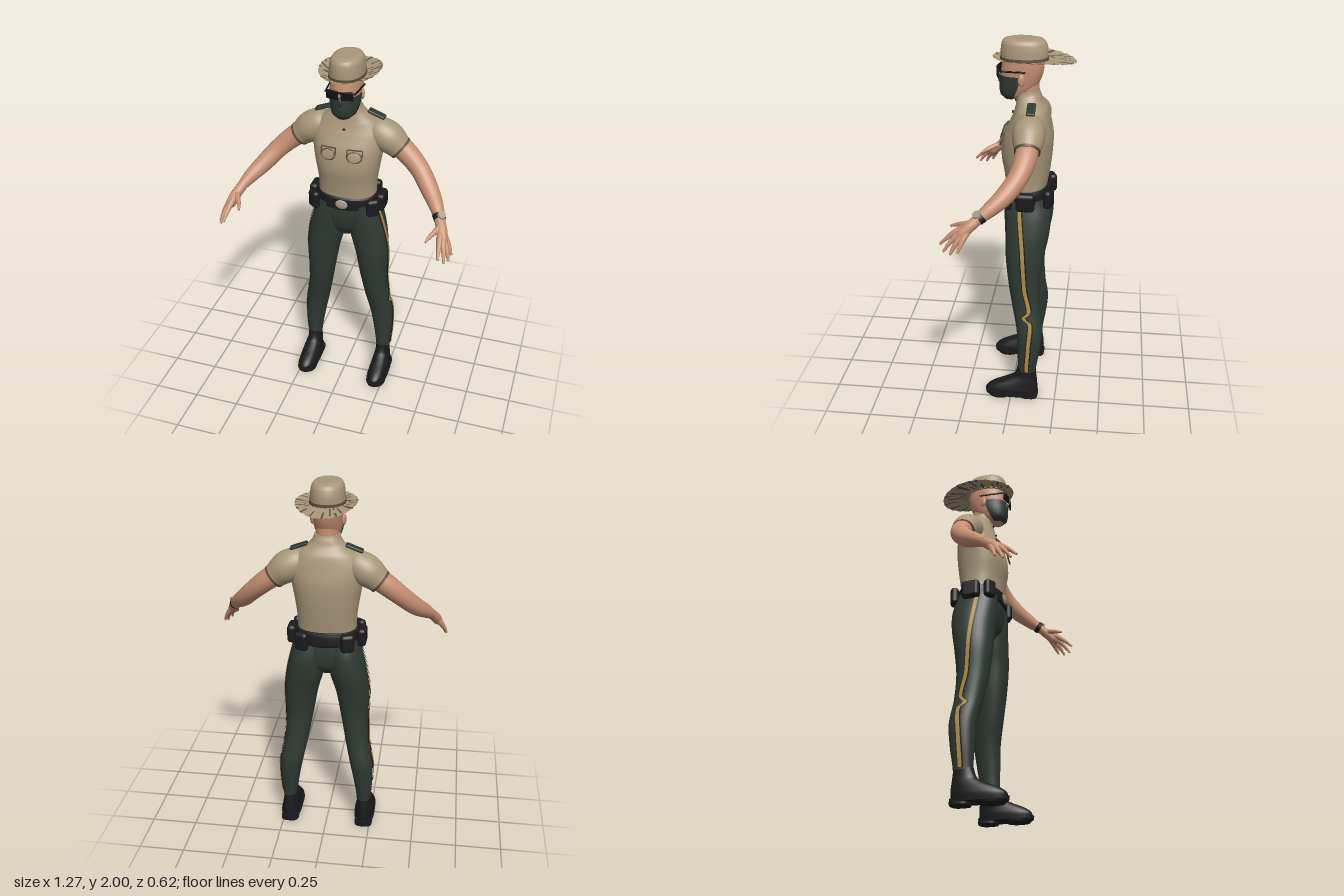
import * as THREE from 'three';
import { RoundedBoxGeometry } from 'three/addons/geometries/RoundedBoxGeometry.js';

const mat = (name, color) => {
  const m = new THREE.MeshStandardMaterial({ color, side: THREE.DoubleSide });
  m.name = name;
  return m;
};
const V = (a) => new THREE.Vector3(...a);

// Smooth interpolation of the columns of rows [y, ...values] at height y
function at(rows, y) {
  let i = 0;
  while (i < rows.length - 2 && y > rows[i + 1][0]) i++;
  const b = rows[i], c = rows[i + 1];
  const a = rows[i - 1] || b, d = rows[i + 2] || c;
  const t = THREE.MathUtils.clamp((y - b[0]) / (c[0] - b[0]), 0, 1);
  return b.map((_, k) => {
    if (k === 0) return y;
    const cubic = 3 * (b[k] - c[k]) + d[k] - a[k];
    const square = 2 * a[k] - 5 * b[k] + 4 * c[k] - d[k];
    return b[k] + 0.5 * t * (c[k] - a[k] + t * (square + t * cubic));
  });
}

// Skin over rings of points; closed rings wrap and can be capped
function skin(rings, closed = true, caps = true) {
  const n = rings[0].length, pos = [], idx = [];
  rings.forEach((r) => r.forEach((p) => pos.push(p.x, p.y, p.z)));
  for (let i = 0; i < rings.length - 1; i++)
    for (let j = 0; j < (closed ? n : n - 1); j++) {
      const k = (j + 1) % n, a = i * n + j, b = i * n + k;
      idx.push(a, a + n, b, b, a + n, b + n);
    }
  if (closed && caps) [rings[0], rings[rings.length - 1]].forEach((r, end) => {
    const s = pos.length / 3, c = new THREE.Vector3();
    r.forEach((p) => { pos.push(p.x, p.y, p.z); c.addScaledVector(p, 1 / n); });
    pos.push(c.x, c.y, c.z);
    for (let j = 0; j < n; j++) {
      const k = (j + 1) % n;
      if (end) idx.push(s + n, s + k, s + j); else idx.push(s + n, s + j, s + k);
    }
  });
  const g = new THREE.BufferGeometry();
  g.setAttribute('position', new THREE.Float32BufferAttribute(pos, 3));
  g.setIndex(idx);
  g.computeVertexNormals();
  return g;
}

// Stack of rounded horizontal sections, rows [y, centreX, halfWidth, zFront, zBack]
function loft(rows, { p = 2.2, side = 1, grow = 0, arc = Math.PI * 2 } = {}) {
  const n = 40, ys = [rows[0][0]], closed = arc > 6;
  const pw = (v) => Math.sign(v) * Math.pow(Math.abs(v), 2 / p);
  for (let i = 1; i < rows.length; i++)
    for (let s = 1; s <= 5; s++) ys.push(THREE.MathUtils.lerp(rows[i - 1][0], rows[i][0], s / 5));
  return skin(ys.map((y) => {
    const [, cx, xr, zf, zb] = at(rows, y);
    return Array.from({ length: closed ? n : n + 1 }, (_, j) => {
      const t = j / n * arc;
      return V([side * cx + pw(Math.cos(t)) * (xr + grow), y,
        (zf + zb) / 2 + pw(Math.sin(t)) * ((zf - zb) / 2 + grow)]);
    });
  }), closed);
}

// Tube of changing radius along points [x, y, z, radius]
function limb(pts, side = 1, n = 16) {
  const curve = new THREE.CatmullRomCurve3(pts.map(([x, y, z]) => V([x * side, y, z])));
  const m = (pts.length - 1) * 5, f = curve.computeFrenetFrames(m);
  const radii = pts.map((q, i) => [i, q[3]]);
  return skin(Array.from({ length: m + 1 }, (_, i) => {
    const u = curve.getUtoTmapping(i / m), c = curve.getPoint(u);
    const r = at(radii, u * (pts.length - 1))[1];
    return Array.from({ length: n }, (_, j) => {
      const t = j / n * Math.PI * 2;
      return c.clone().addScaledVector(f.normals[i], Math.cos(t) * r).addScaledVector(f.binormals[i], -Math.sin(t) * r);
    });
  }));
}

const TORSO = [[1.2, 0, 0.155, 0.045, -0.17], [1.3, 0, 0.158, 0.055, -0.185], [1.4, 0, 0.172, 0.07, -0.197],
  [1.5, 0, 0.187, 0.056, -0.2], [1.58, 0, 0.188, 0.022, -0.185], [1.64, 0, 0.15, 0, -0.17],
  [1.68, 0, 0.1, -0.008, -0.145], [1.71, 0, 0.074, -0.008, -0.135], [1.735, 0, 0.066, -0.012, -0.125]];
const LEG = [[0.17, 0.213, 0.04, -0.04, -0.14], [0.3, 0.208, 0.053, -0.036, -0.16], [0.42, 0.195, 0.064, -0.03, -0.172],
  [0.55, 0.17, 0.066, -0.005, -0.157], [0.7, 0.152, 0.075, 0.02, -0.152], [0.85, 0.14, 0.09, 0.035, -0.17],
  [0.98, 0.115, 0.1, 0.04, -0.195], [1.08, 0.1, 0.092, 0.045, -0.2], [1.18, 0.085, 0.08, 0.045, -0.18]];
const HEAD = [[1.688, 0, 0.03, 0.05, -0.03], [1.71, 0, 0.056, 0.07, -0.07], [1.75, 0, 0.07, 0.076, -0.11],
  [1.8, 0, 0.076, 0.074, -0.135], [1.85, 0, 0.08, 0.07, -0.147], [1.91, 0, 0.079, 0.06, -0.145]];
const STRIPE = [[0.18, -0.09], [0.35, -0.1], [0.49, -0.107], [0.52, -0.07], [0.55, -0.1],
  [0.68, -0.075], [0.92, -0.06], [1.15, -0.04]];

// Thin ribbon lying on the outside of the leg
function legRibbon(side, width, lift) {
  return skin(Array.from({ length: 66 }, (_, i) => {
    const y = 0.18 + i / 65 * 0.97, z0 = at(STRIPE, y)[1], [, cx, xr, zf, zb] = at(LEG, y);
    return [-1, 1].map((s) => {
      const z = z0 + s * width / 2, u = Math.min(1, Math.abs((z - (zf + zb) / 2) / ((zf - zb) / 2)));
      const out = Math.pow(1 - Math.pow(u, 2.2), 1 / 2.2);
      return V([side * (cx + xr * out + lift), y, z]);
    });
  }), false);
}

// Wide oval brim with creased radial folds
function brimGeometry() {
  const N = 96, rings = [];
  for (let i = 0; i <= 6; i++) {
    const t = i / 6;
    rings.push(Array.from({ length: N }, (_, j) => {
      const a = j / N * Math.PI * 2, c = Math.cos(a), s = Math.sin(a);
      const lip = 0.016 * c * c + (s > 0 ? 0.012 : -0.01) * s * s + 0.002 * Math.sin(a * 24);
      return V([c * (0.08 + 0.075 * t), 1.893 + lip * t * t, -0.047 - 0.051 * t + s * (0.112 + 0.1 * t)]);
    }));
  }
  const g = skin(rings, true, false), old = Array.from(g.index.array), parts = [[], []];
  for (let q = 0; q < old.length; q += 6) {
    const i = Math.floor(q / 6 / N), j = (q / 6) % N;
    const dark = (j * 7 + Math.floor(j / 5) * 3) % 11 < 3 && (i + j) % 6 > 1;
    parts[dark ? 1 : 0].push(...old.slice(q, q + 6));
  }
  g.setIndex([...parts[0], ...parts[1]]);
  g.addGroup(0, parts[0].length, 0);
  g.addGroup(parts[0].length, parts[1].length, 1);
  return g;
}

export function createModel() {
  const root = new THREE.Group();
  const tan = mat('tan cloth', 0xa8977a), brown = mat('brown seam', 0x5c4e3c), green = mat('dark green cloth', 0x2f3a33),
    skinM = mat('skin', 0xc68f72), black = mat('black leather', 0x1b1b1d), gold = mat('gold trim', 0xb28c3c),
    metal = mat('pale metal', 0xa89d88), lens = mat('dark lens', 0x101114);
  const add = (name, geo, m, pos = [0, 0, 0], rot = [0, 0, 0], scale = [1, 1, 1], parent = root) => {
    const mesh = new THREE.Mesh(geo, m);
    mesh.name = name;
    mesh.position.set(...pos); mesh.rotation.set(...rot); mesh.scale.set(...scale);
    parent.add(mesh);
    return mesh;
  };
  const ball = new THREE.SphereGeometry(1, 20, 14);
  const box = (w, h, d, r) => new RoundedBoxGeometry(w, h, d, 3, r);

  // Body and clothing
  add('shirt', loft(TORSO, { p: 2.3 }), tan);
  add('hips', loft([[0.97, 0, 0.06, 0, -0.12], [1.02, 0, 0.14, 0.03, -0.175], [1.1, 0, 0.178, 0.046, -0.188],
    [1.18, 0, 0.165, 0.048, -0.182]]), green);
  add('belt', loft([[1.152, 0, 0.16, 0.05, -0.19], [1.16, 0, 0.17, 0.06, -0.198], [1.22, 0, 0.168, 0.058, -0.194],
    [1.228, 0, 0.156, 0.048, -0.18]]), black);
  add('buckle', ball, metal, [0, 1.192, 0.06], [0, 0, 0], [0.034, 0.027, 0.008]);
  for (const [y, z] of [[1.675, -0.004], [1.612, 0.012]]) add('shirtButton', ball, black, [0, y, z], [0, 0, 0], [0.007, 0.007, 0.005]);

  // Head, mask and glasses
  add('neck', new THREE.CylinderGeometry(0.057, 0.06, 0.12, 24), skinM, [0, 1.735, -0.066]);
  add('head', loft(HEAD), skinM);
  add('faceMask', loft([...HEAD.slice(0, 4), [1.815, 0, 0.077, 0.074, -0.138]], { grow: 0.005, arc: Math.PI }), green);
  add('maskNose', ball, green, [0, 1.79, 0.074], [0, 0, 0], [0.017, 0.026, 0.014]);
  add('glassesBridge', box(0.04, 0.01, 0.008, 0.003), lens, [0, 1.845, 0.086]);

  // Hat
  add('hatBrim', brimGeometry(), [tan, brown]);
  add('hatCrown', loft([[1.89, 0, 0.09, 0.073, -0.167], [1.94, 0, 0.087, 0.073, -0.167], [1.975, 0, 0.081, 0.068, -0.158],
    [1.993, 0, 0.07, 0.057, -0.142], [2.0, 0, 0.05, 0.035, -0.115]]), tan);
  add('hatBand', loft([[1.892, 0, 0.0925, 0.076, -0.17], [1.907, 0, 0.0915, 0.076, -0.17]]), brown);

  for (const s of [1, -1]) {
    // Legs and shoes
    add('trouserLeg', loft(LEG, { side: s }), green);
    add('stripeEdge', legRibbon(s, 0.032, 0.004), black);
    add('trouserStripe', legRibbon(s, 0.02, 0.008), gold);
    add('shoe', loft([[0.025, 0.215, 0.054, 0.137, -0.148], [0.05, 0.215, 0.055, 0.134, -0.15], [0.075, 0.215, 0.05, 0.1, -0.15],
      [0.1, 0.214, 0.045, 0.042, -0.148], [0.13, 0.213, 0.039, -0.015, -0.144], [0.185, 0.213, 0.037, -0.036, -0.138]], { side: s }), black);
    add('shoeSole', loft([[0.012, 0.215, 0.057, 0.142, -0.152], [0.032, 0.215, 0.059, 0.145, -0.155]], { side: s, p: 2.6 }), black);
    add('shoeHeel', loft([[0, 0.215, 0.05, -0.05, -0.152], [0.015, 0.215, 0.05, -0.05, -0.154]], { side: s, p: 3 }), black);
    add('shoeTread', loft([[0, 0.215, 0.054, 0.125, 0], [0.015, 0.215, 0.056, 0.14, -0.015]], { side: s }), black);

    // Arms
    add('sleeve', limb([[0.1, 1.6, -0.085, 0.05], [0.15, 1.585, -0.087, 0.075], [0.21, 1.55, -0.09, 0.083],
      [0.275, 1.497, -0.09, 0.065]], s, 28), tan);
    add('sleeveHem', limb([[0.268, 1.503, -0.09, 0.067], [0.278, 1.495, -0.09, 0.0655]], s, 28), brown);
    add('arm', limb([[0.22, 1.54, -0.09, 0.06], [0.3, 1.485, -0.088, 0.057], [0.385, 1.41, -0.06, 0.051],
      [0.455, 1.335, 0, 0.047], [0.51, 1.28, 0.07, 0.037], [0.545, 1.238, 0.128, 0.026]], s, 20), skinM);

    // Hand: thumb first, then the four fingers
    add('palm', limb([[0.535, 1.248, 0.115, 0.026], [0.56, 1.21, 0.16, 0.028], [0.575, 1.175, 0.2, 0.026], [0.585, 1.16, 0.217, 0.016]], s), skinM);
    const fingers = [[[0.545, 1.22, 0.17], [0.515, 1.2, 0.225], [0.5, 1.185, 0.26]],
      [[0.562, 1.19, 0.215], [0.57, 1.155, 0.265], [0.575, 1.12, 0.302]],
      [[0.578, 1.175, 0.213], [0.594, 1.135, 0.252], [0.603, 1.093, 0.282]],
      [[0.588, 1.165, 0.2], [0.608, 1.125, 0.227], [0.62, 1.086, 0.246]],
      [[0.592, 1.165, 0.182], [0.614, 1.13, 0.197], [0.627, 1.1, 0.208]]];
    for (const [a, b, c] of fingers)
      add('finger', limb([[0.55, 1.225, 0.145, 0.018], [...a, 0.016], [...b, 0.011], [...c, 0.006]], s, 10), skinM);

    // Shoulder strap and breast pocket
    add('shoulderStrap', box(0.095, 0.016, 0.045, 0.007), green, [s * 0.142, 1.672, -0.095], [0, 0, -s * 0.36]);
    const pocket = new THREE.Group();
    pocket.name = 'breastPocket';
    pocket.position.set(s * 0.07, 1.488, 0.062);
    pocket.rotation.set(-0.22, s * 0.17, 0);
    root.add(pocket);
    const flat = [0, 0, 0], unit = [1, 1, 1];
    add('pocketTopSeam', new THREE.BoxGeometry(0.084, 0.006, 0.006), brown, [0, 0.036, 0], flat, unit, pocket);
    for (const e of [1, -1])
      add('pocketSideSeam', new THREE.BoxGeometry(0.005, 0.042, 0.006), brown, [e * 0.04, 0.016, 0], flat, unit, pocket);
    add('pocketRim', new THREE.TorusGeometry(0.036, 0.0035, 6, 32), brown, [0, -0.002, 0.003], flat, [1.05, 0.8, 1], pocket);
    add('pocketFront', ball, tan, [0, -0.002, 0], flat, [0.036, 0.028, 0.005], pocket);

    // Belt pouches
    for (const [x, z, w, d, turn] of [[0.162, 0.028, 0.07, 0.042, 0.6], [0.186, -0.072, 0.1, 0.048, Math.PI / 2], [0.12, -0.188, 0.075, 0.045, -0.35]])
      add('beltPouch', box(w, 0.1, d, 0.02), black, [s * x, 1.183, z], [0, s * turn, 0]);

    // Ear and glasses side
    add('ear', ball, skinM, [s * 0.081, 1.8, -0.04], [0, s * 0.3, 0], [0.01, 0.03, 0.019]);
    add('glassesLens', box(0.064, 0.047, 0.01, 0.005), lens, [s * 0.038, 1.832, 0.085], [0, s * 0.2, 0]);
    add('glassesArm', box(0.006, 0.009, 0.14, 0.002), lens, [s * 0.081, 1.843, 0.01], [0, -s * 0.09, 0]);
  }

  // Wristwatch on the left arm
  add('watchStrap', limb([[0.528, 1.258, 0.1, 0.033], [0.54, 1.244, 0.12, 0.0315]], 1, 24), black);
  const face = add('watchFace', new THREE.CylinderGeometry(0.02, 0.022, 0.01, 24), metal, [0.55, 1.275, 0.125]);
  face.quaternion.setFromUnitVectors(V([0, 1, 0]), V([0.45, 0.78, 0.42]).normalize());
  return root;
}
